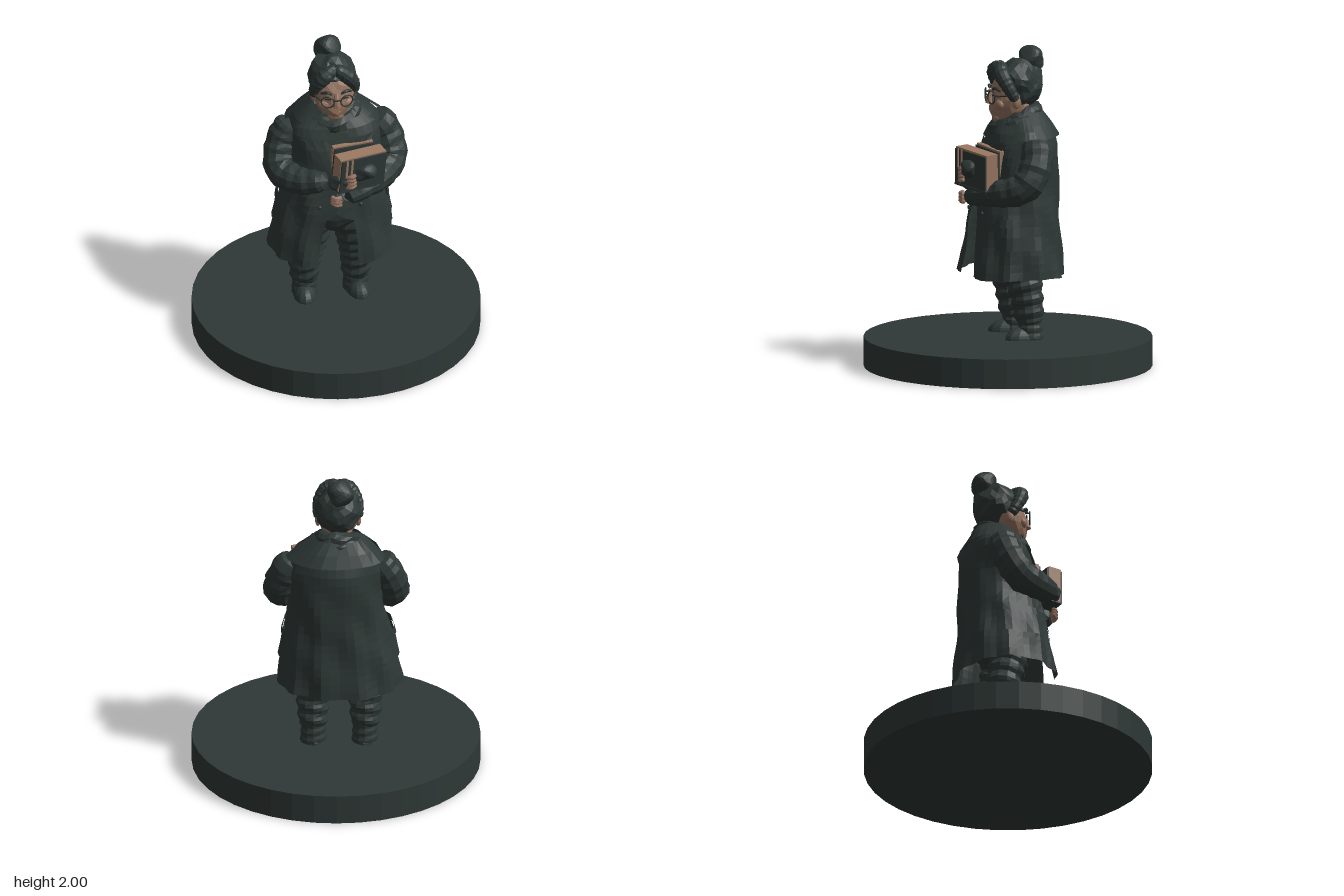
import * as THREE from 'three';

const charcoal = new THREE.MeshStandardMaterial({ color: 0x2e3836, side: THREE.DoubleSide });
charcoal.name = 'charcoal cloth';
const skin = new THREE.MeshStandardMaterial({ color: 0x94725f });
skin.name = 'skin';
const paper = new THREE.MeshStandardMaterial({ color: 0x9a7862 });
paper.name = 'paper';

// Small position-driven wobble that gives a carved surface
const wobble = (v, a) => v.set(
  v.x + a * Math.sin(v.y * 47 + v.z * 31),
  v.y + a * Math.sin(v.z * 43 + v.x * 37),
  v.z + a * Math.sin(v.x * 41 + v.y * 53));

function reshape(geo, rule) {
  const p = geo.attributes.position, v = new THREE.Vector3();
  for (let i = 0; i < p.count; i++) {
    rule(v.fromBufferAttribute(p, i), i);
    p.setXYZ(i, v.x, v.y, v.z);
  }
  return geo;
}

function add(parent, name, geo, mat, pos = [0, 0, 0], rot = [0, 0, 0]) {
  const flat = geo.index ? geo.toNonIndexed() : geo;
  flat.computeVertexNormals();
  const mesh = new THREE.Mesh(flat, mat);
  mesh.name = name;
  mesh.position.set(...pos);
  mesh.rotation.set(...rot);
  parent.add(mesh);
  return mesh;
}

// Faceted ellipsoid
function blob(parent, name, mat, pos, r, rough = 0.006, rot) {
  const geo = reshape(new THREE.IcosahedronGeometry(1, 3), v => wobble(v.multiply(new THREE.Vector3(...r)), rough));
  return add(parent, name, geo, mat, pos, rot);
}

// Tapered, round-ended tube with optional cloth folds
function limb(parent, name, mat, pts, radii, fold = 0, segs = 20, sides = 12) {
  const curve = new THREE.CatmullRomCurve3(pts.map(p => new THREE.Vector3(...p)));
  const geo = new THREE.TubeGeometry(curve, segs, 1, sides);
  reshape(geo, (v, i) => {
    const t = Math.floor(i / (sides + 1)) / segs, a = (i % (sides + 1)) / sides * Math.PI * 2;
    const k = Math.min(t * (radii.length - 1), radii.length - 1.0001), j = Math.floor(k);
    const u = Math.min(1, Math.min(t, 1 - t) * 12);
    const r = THREE.MathUtils.lerp(radii[j], radii[j + 1], k - j) * Math.sqrt(1 - (1 - u) ** 2);
    const c = curve.getPointAt(t);
    v.sub(c).multiplyScalar(r * (1 + fold * Math.sin(t * 52 + 1.6 * Math.sin(a)))).add(c);
  });
  return add(parent, name, geo, mat);
}

// Coat sections: y, centre x, centre z, half width, half depth, front gap angle
const COAT = [
  [0.57, -0.025, -0.03, 0.385, 0.305, 0.3], [0.75, -0.02, -0.035, 0.36, 0.285, 0.28],
  [0.95, -0.01, -0.04, 0.325, 0.265, 0.19], [1.1, 0, -0.055, 0.295, 0.25, 0.03],
  [1.25, 0, -0.07, 0.29, 0.235, 0], [1.38, 0, -0.085, 0.3, 0.215, 0],
  [1.47, 0, -0.09, 0.28, 0.185, 0], [1.54, -0.01, -0.09, 0.2, 0.145, 0],
  [1.6, -0.015, -0.085, 0.13, 0.11, 0]];

function section(y) {
  let i = 0;
  while (i < COAT.length - 2 && y > COAT[i + 1][0]) i++;
  const t = THREE.MathUtils.clamp((y - COAT[i][0]) / (COAT[i + 1][0] - COAT[i][0]), 0, 1);
  return COAT[i].map((n, k) => THREE.MathUtils.lerp(n, COAT[i + 1][k], t));
}

// Point on the coat: angle 0 faces the front, positive towards +x
function coatPoint(a, y, lift = 0) {
  const [, cx, cz, rx, rz] = section(y);
  const drape = Math.max(0, 1.35 - y);
  const f = lift + 0.016 * drape * Math.sin(a * 11 + y * 2) + 0.005 * Math.sin(a * 5 + y * 17);
  const s = Math.sin(a), c = Math.cos(a), sq = n => Math.sign(n) * Math.abs(n) ** 0.88;
  return new THREE.Vector3(cx + (rx + f) * sq(s), y + 0.02 * drape * s * s, cz + (rz + f) * sq(c));
}

// Sheet laid on the coat; span(y) gives its start and end angles
function coatSheet(parent, name, y0, y1, span, lift, cols, rows) {
  const geo = new THREE.PlaneGeometry(1, 1, cols, rows);
  reshape(geo, v => {
    const y = THREE.MathUtils.lerp(y0, y1, v.y + 0.5), [a, b] = span(y);
    v.copy(coatPoint(THREE.MathUtils.lerp(a, b, v.x + 0.5), y, lift));
  });
  return add(parent, name, geo, charcoal);
}

function buildCoat(g) {
  coatSheet(g, 'coat', 0.57, 1.6, y => [section(y)[5], Math.PI * 2 - section(y)[5]], 0, 44, 20);
  for (const s of [-1, 1]) {
    coatSheet(g, 'coatPocket', 0.76, 0.93, () => [s * 0.85, s * 1.9], 0.014, 8, 2);
    coatSheet(g, 'pocketFlap', 0.91, 0.96, () => [s * 0.82, s * 1.93], 0.022, 8, 1);
    coatSheet(g, 'frontBand', 0.58, 1.2, y => [s * section(y)[5], s * (section(y)[5] + 0.13)], 0.01, 2, 8);
    // lapel widens to a notch below the collar
    coatSheet(g, 'lapel', 1.15, 1.42, y => [s * 0.04, s * (0.1 + (y - 1.15) * 2.4)], 0.016, 3, 4);
    coatSheet(g, 'collar', 1.43, 1.53, y => [s * 0.15, s * (1.1 - (y - 1.43) * 3)], 0.022, 5, 2);
    for (const y of [0.98, 1.13]) blob(g, 'button', charcoal, coatPoint(s * 0.36, y, 0.008).toArray(), [0.014, 0.014, 0.01], 0);
  }
  coatSheet(g, 'backCollar', 1.46, 1.6, () => [Math.PI * 0.5, Math.PI * 1.5], 0.025, 12, 2);
}

function buildLegs(g) {
  blob(g, 'hips', charcoal, [-0.015, 0.87, -0.05], [0.21, 0.2, 0.19]);
  for (const s of [-1, 1]) {
    const x = s < 0 ? -0.18 : 0.14;
    limb(g, 'trouserLeg', charcoal,
      [[x * 0.6, 0.92, -0.03], [x * 0.8, 0.7, -0.03], [x, 0.5, -0.07], [x, 0.26, -0.1]],
      [0.13, 0.12, 0.115, 0.1, 0.085], 0.075, 32);
    limb(g, 'bootShaft', charcoal, [[x, 0.36, -0.1], [x, 0.28, -0.1], [x, 0.16, -0.1]], [0.07, 0.078, 0.085], 0.04, 12);
    const toe = new THREE.SphereGeometry(1, 12, 8, 0, Math.PI * 2, 0, Math.PI / 2);
    toe.scale(0.075, 0.085, 0.13);
    add(g, 'bootFoot', toe, charcoal, [x + s * 0.005, 0.18, -0.06], [0, s * 0.12, 0]);
  }
}

function buildArms(g) {
  limb(g, 'rightSleeve', charcoal,
    [[-0.25, 1.45, -0.1], [-0.33, 1.31, -0.08], [-0.35, 1.17, 0], [-0.25, 1.15, 0.14], [-0.09, 1.2, 0.25]],
    [0.1, 0.1, 0.1, 0.085, 0.06], 0.05, 24);
  limb(g, 'leftSleeve', charcoal,
    [[0.25, 1.45, -0.1], [0.33, 1.31, -0.08], [0.345, 1.17, 0], [0.24, 1.12, 0.14], [0.12, 1.1, 0.22], [0.01, 1.07, 0.26]],
    [0.1, 0.1, 0.1, 0.09, 0.07, 0.06], 0.05, 24);
  // fingerless gloves and fingers
  blob(g, 'rightGlove', charcoal, [-0.025, 1.21, 0.285], [0.07, 0.055, 0.045]);
  blob(g, 'gloveBack', charcoal, [0.13, 1.27, 0.3], [0.075, 0.055, 0.045]);
  for (let i = 0; i < 4; i++) {
    const y = 1.18 + i * 0.024;
    limb(g, 'rightFinger', skin, [[0.01, y, 0.305], [0.045, y + 0.005, 0.325], [0.075, y + 0.012, 0.305]], [0.016, 0.015, 0.013], 0, 12, 7);
  }
  for (let i = 0; i < 3; i++)
    limb(g, 'leftFinger', skin, [[-0.01, 1.04 + i * 0.022, 0.28], [-0.05, 1.045 + i * 0.02, 0.29], [-0.075, 1.06 + i * 0.016, 0.265]], [0.018, 0.017, 0.014], 0, 12, 7);
}

function buildBooks(g) {
  const volume = (name, w, h, d, pos, ry) => {
    const b = new THREE.Group();
    b.name = name;
    b.position.set(...pos);
    b.rotation.set(0.05, ry, -0.08);
    add(b, 'pages', new THREE.BoxGeometry(w, h, d), paper);
    for (const s of [-1, 1]) add(b, 'cover', new THREE.BoxGeometry(w - 0.008, h - 0.014, 0.012), charcoal, [0, -0.002, s * (d / 2 + 0.006)]);
    add(b, 'spine', new THREE.BoxGeometry(w, 0.012, d + 0.02), charcoal, [0, -h / 2 - 0.004, 0]);
    g.add(b);
    return b;
  };
  const front = volume('frontBook', 0.32, 0.23, 0.085, [0.105, 1.265, 0.235], 0.33);
  for (const x of [-0.12, -0.085]) add(front, 'ribbon', new THREE.BoxGeometry(0.014, 0.12, 0.006), paper, [x, 0.05, 0.057]);
  volume('backBook', 0.27, 0.23, 0.03, [0.07, 1.275, 0.135], 0.25);
}

function buildHead(g) {
  // face narrows towards the chin
  const face = reshape(new THREE.IcosahedronGeometry(1, 3), v => {
    const jaw = Math.max(0, -v.y);
    v.set(v.x * 0.13 * (1 - 0.2 * jaw), v.y * 0.16, v.z * 0.11 + 0.03 * jaw * Math.max(0, v.z + 0.4));
    wobble(v, 0.004);
  });
  add(g, 'face', face, skin, [-0.013, 1.68, -0.005]);
  limb(g, 'neck', skin, [[-0.013, 1.65, -0.05], [-0.013, 1.45, -0.07]], [0.085, 0.09]);
  blob(g, 'chin', skin, [-0.013, 1.56, 0.065], [0.05, 0.035, 0.035], 0.002);
  limb(g, 'nose', skin, [[-0.013, 1.74, 0.09], [-0.013, 1.69, 0.115], [-0.013, 1.645, 0.115]], [0.014, 0.018, 0.03], 0, 12, 8);
  blob(g, 'lips', skin, [-0.013, 1.605, 0.095], [0.035, 0.012, 0.016], 0);
  // hair, parting locks and bun
  blob(g, 'hair', charcoal, [-0.013, 1.77, -0.08], [0.145, 0.155, 0.145], 0.01);
  for (const s of [-1, 1]) {
    const x = n => -0.013 + s * n;
    limb(g, 'hairLock', charcoal, [[x(-0.01), 1.885, 0.03], [x(0.06), 1.85, 0.06], [x(0.115), 1.77, 0.035], [x(0.125), 1.67, -0.02]], [0.035, 0.05, 0.04, 0.03], 0.06);
    blob(g, 'ear', skin, [x(0.125), 1.665, -0.02], [0.018, 0.04, 0.025], 0);
    blob(g, 'cheek', skin, [x(0.065), 1.65, 0.07], [0.045, 0.035, 0.03], 0);
    limb(g, 'brow', charcoal, [[x(0.025), 1.735, 0.105], [x(0.06), 1.752, 0.1], [x(0.1), 1.735, 0.075]], [0.007, 0.01, 0.007], 0, 12, 6);
    add(g, 'eye', new THREE.BoxGeometry(0.035, 0.009, 0.008), charcoal, [x(0.055), 1.705, 0.103], [0, s * 0.3, 0]);
    add(g, 'spectacleRim', new THREE.TorusGeometry(0.04, 0.0045, 5, 18), charcoal, [x(0.06), 1.695, 0.122], [0, s * 0.25, 0]);
    limb(g, 'spectacleArm', charcoal, [[x(0.1), 1.705, 0.112], [x(0.13), 1.71, 0.05], [x(0.138), 1.7, -0.03]], [0.006, 0.006], 0, 12, 5);
  }
  add(g, 'spectacleBridge', new THREE.BoxGeometry(0.042, 0.007, 0.007), charcoal, [-0.013, 1.705, 0.132]);
  blob(g, 'hairBun', charcoal, [-0.028, 1.915, -0.16], [0.082, 0.083, 0.078], 0.006);
}

// Two wraps of scarf, dipping at the front
function buildScarf(g) {
  for (const [R, r, y, z, tilt] of [[0.125, 0.058, 1.525, -0.06, 0.33], [0.112, 0.043, 1.565, -0.075, 0.4]]) {
    const geo = new THREE.TorusGeometry(R, r, 9, 26);
    geo.rotateX(Math.PI / 2);
    reshape(geo, v => wobble(v, 0.008));
    add(g, 'scarfWrap', geo, charcoal, [-0.015, y, z], [tilt, 0, 0.06]);
  }
}

export function createModel() {
  const model = new THREE.Group();
  model.name = 'standingFigure';
  add(model, 'base', new THREE.CylinderGeometry(0.895, 0.895, 0.185, 40), charcoal, [0, 0.0925, 0]);
  for (const [name, build] of Object.entries({
    coat: buildCoat, legs: buildLegs, arms: buildArms, books: buildBooks, head: buildHead, scarf: buildScarf })) {
    const part = new THREE.Group();
    part.name = name + 'Group';
    build(part);
    model.add(part);
  }
  return model;
}
